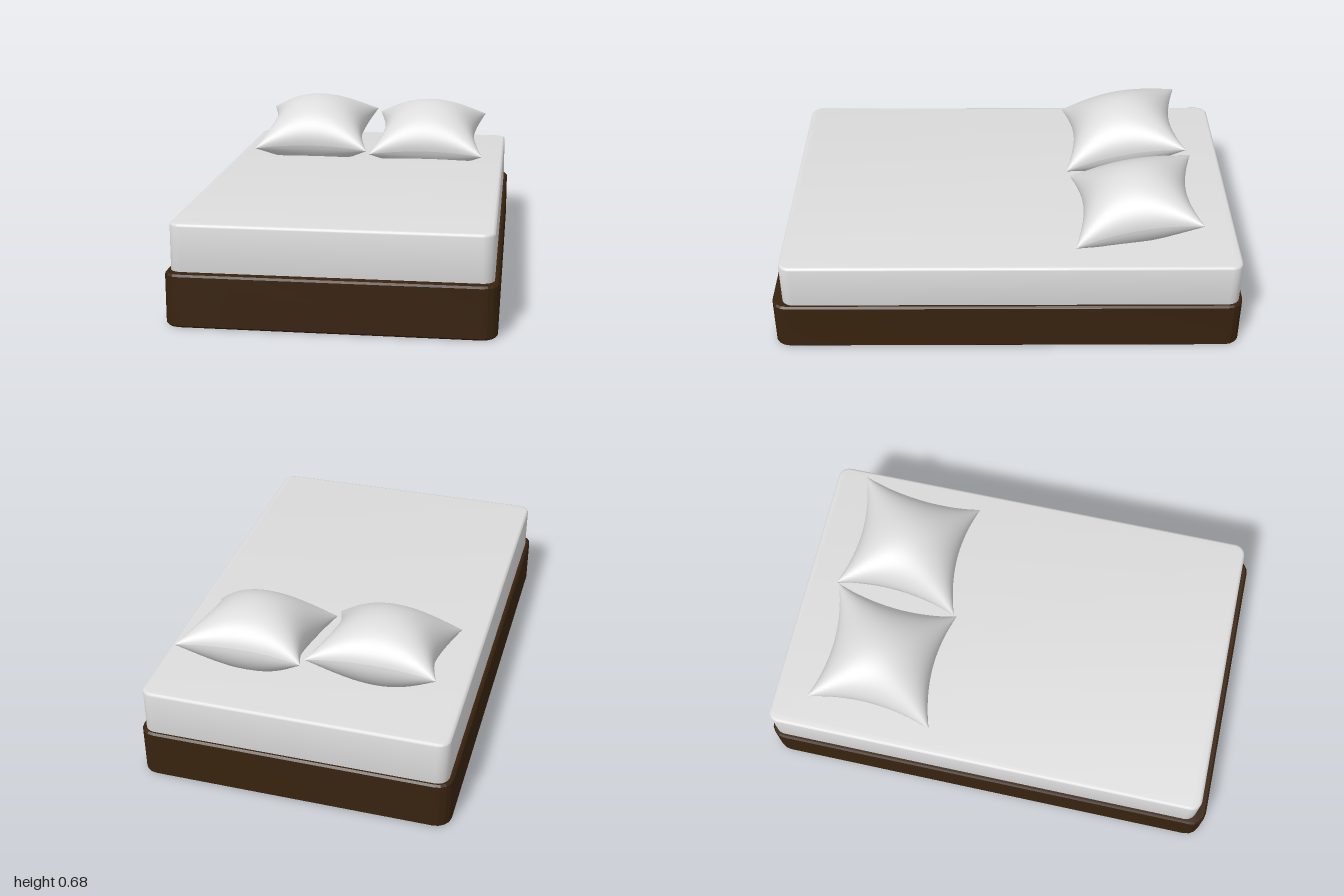
import * as THREE from 'three';
import { mergeGeometries, toCreasedNormals } from 'three/addons/utils/BufferGeometryUtils.js';

// Upright slab with rounded plan corners and a small bevel on its top and bottom edges
function slab(halfX, z0, z1, y0, y1, radius, segments, bevel, bevelSegments) {
  const s = new THREE.Shape();
  const a = -z1, b = -z0, r = radius, w = halfX;
  s.moveTo(-w + r, a);
  s.lineTo(w - r, a);
  s.absarc(w - r, a + r, r, -Math.PI / 2, 0);
  s.lineTo(w, b - r);
  s.absarc(w - r, b - r, r, 0, Math.PI / 2);
  s.lineTo(-w + r, b);
  s.absarc(-w + r, b - r, r, Math.PI / 2, Math.PI);
  s.lineTo(-w, a + r);
  s.absarc(-w + r, a + r, r, Math.PI, Math.PI * 1.5);
  const g = new THREE.ExtrudeGeometry(s, {
    depth: y1 - y0 - 2 * bevel, curveSegments: segments,
    bevelEnabled: true, bevelThickness: bevel, bevelSize: bevel,
    bevelOffset: -bevel, bevelSegments,
  });
  g.rotateX(-Math.PI / 2);
  g.translate(0, y0 + bevel, 0);
  return g;
}

// Stuffed square cushion: two domed sheets with pinched-in sides and pointed corners
function pillowGeometry(half, halfLength, thickness) {
  const sheet = (side) => {
    const g = new THREE.PlaneGeometry(2, 2, 32, 32).rotateX(side * -Math.PI / 2);
    const p = g.attributes.position;
    for (let i = 0; i < p.count; i++) {
      // Rows crowd towards the seam, where the surface curves most
      const u = Math.sin(p.getX(i) * Math.PI / 2);
      const v = Math.sin(p.getZ(i) * Math.PI / 2);
      const fu = Math.max(0, 1 - u * u), fv = Math.max(0, 1 - v * v);
      p.setXYZ(i,
        half * u * (1 - 0.18 * fv),
        side * thickness * Math.pow(fu * fv, 0.52),
        halfLength * v * (1 - 0.18 * fu));
    }
    g.computeVertexNormals();
    return g;
  };
  return mergeGeometries([sheet(1), sheet(-1)]);
}

export function createModel() {
  const bed = new THREE.Group();
  bed.name = 'bed';

  const wood = new THREE.MeshStandardMaterial({ color: 0x38230f });
  wood.name = 'dark brown wood';
  const linen = new THREE.MeshStandardMaterial({ color: 0xdcdcdc });
  linen.name = 'white linen';

  const add = (name, geometry, material) => {
    const m = new THREE.Mesh(geometry, material);
    m.name = name;
    bed.add(m);
    return m;
  };

  // Wooden base with faceted corners
  add('base', toCreasedNormals(slab(0.657, -1, 1, 0, 0.217, 0.065, 2, 0.008, 1), 0.2), wood);

  // Mattress, set slightly towards the head
  add('mattress', toCreasedNormals(slab(0.64, -0.985, 0.957, 0.2, 0.411, 0.05, 8, 0.012, 3), 0.7), linen);

  // Pillows, tipped up towards the head
  const pillow = pillowGeometry(0.269, 0.273, 0.16);
  const places = [
    ['rightPillow', -0.274, 0.515, -0.535],
    ['leftPillow', 0.274, 0.497, -0.552],
  ];
  for (const [name, x, y, z] of places) {
    const m = add(name, pillow, linen);
    m.position.set(x, y, z);
    m.rotation.x = 0.21;
  }
  return bed;
}
